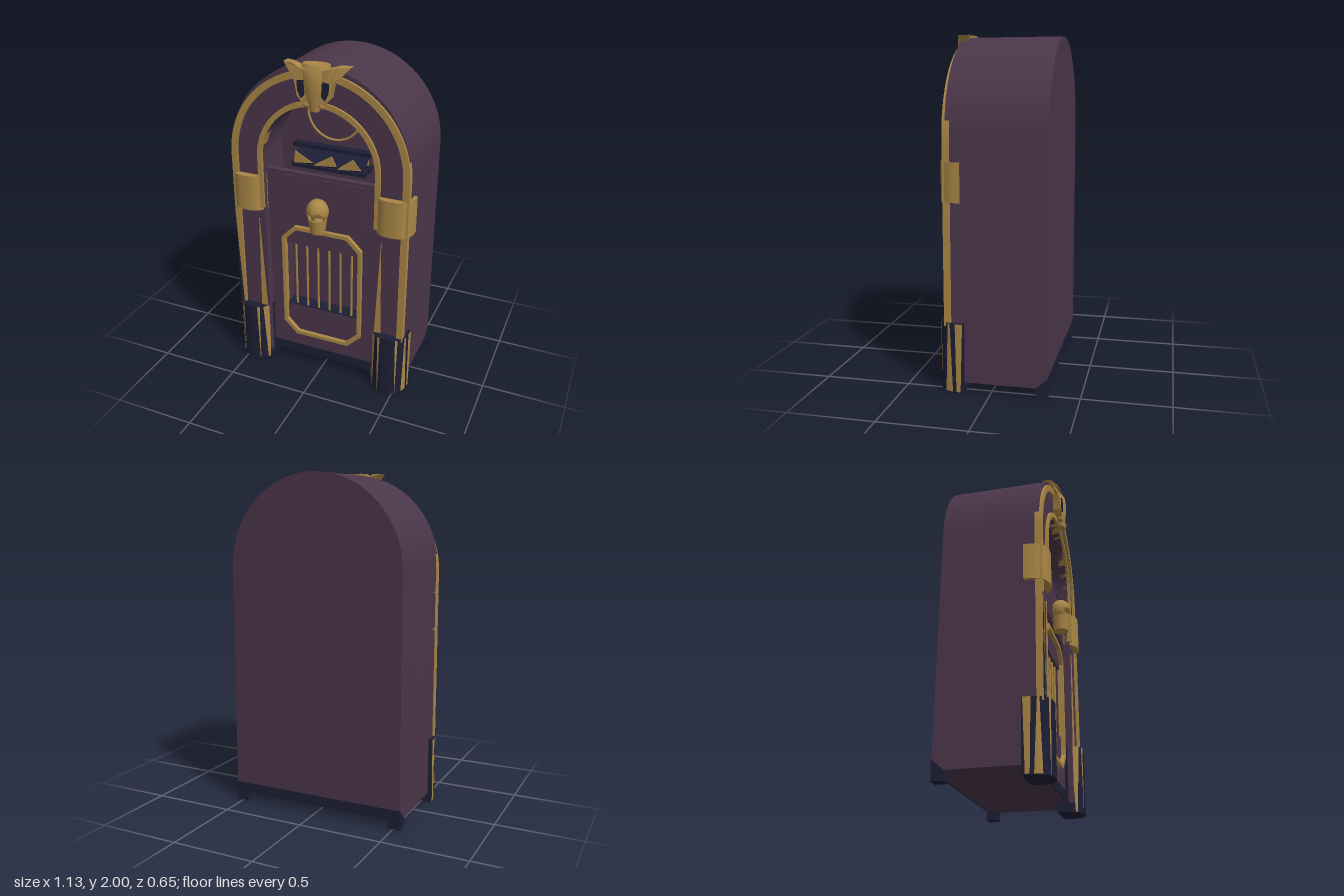
import * as THREE from 'three';
import { toCreasedNormals } from 'three/addons/utils/BufferGeometryUtils.js';

const mat = (name, color) => {
  const m = new THREE.MeshStandardMaterial({ color, side: THREE.DoubleSide });
  m.name = name;
  return m;
};

export function createModel() {
  const model = new THREE.Group();
  const purple = mat('plum', 0x4b364a);
  const gold = mat('old gold', 0xa98646);
  const navy = mat('dark navy', 0x1c1e34);

  const add = (name, geo, material, x = 0, y = 0, z = 0) => {
    const m = new THREE.Mesh(geo, material);
    m.name = name;
    m.position.set(x, y, z);
    model.add(m);
    return m;
  };
  // Box given by its limits
  const box = (name, material, x0, x1, y0, y1, z0, z1) =>
    add(name, new THREE.BoxGeometry(x1 - x0, y1 - y0, z1 - z0), material,
      (x0 + x1) / 2, (y0 + y1) / 2, (z0 + z1) / 2);
  const poly = (pts) => new THREE.Shape(pts.map(([x, y]) => new THREE.Vector2(x, y)));
  const extrude = (shape, z0, z1) => {
    const g = new THREE.ExtrudeGeometry(shape, { depth: z1 - z0, bevelEnabled: false, curveSegments: 20 });
    g.translate(0, 0, z0);
    return toCreasedNormals(g, 0.5);
  };
  const arch = (r, base, cy) => {
    const s = new THREE.Shape();
    s.moveTo(-r, base).lineTo(-r, cy).absarc(0, cy, r, Math.PI, 0, true);
    s.lineTo(r, base).closePath();
    return s;
  };
  // Upside-down U band between two radii
  const band = (R, r, base, cy, cyIn = cy) => {
    const s = new THREE.Shape();
    s.moveTo(-R, base).lineTo(-R, cy).absarc(0, cy, R, Math.PI, 0, true);
    s.lineTo(R, base).lineTo(r, base).lineTo(r, cyIn).absarc(0, cyIn, r, 0, Math.PI, false);
    s.lineTo(-r, base).closePath();
    return s;
  };

  // Cabinet: solid back and a hollow front
  add('cabinetBack', extrude(arch(0.54, 0.055, 1.45), -0.32, 0), purple);
  const front = arch(0.54, 0.055, 1.45);
  front.holes.push(arch(0.345, 1.2, 1.42));
  front.holes.push(poly([[-0.24, 0.42], [0.24, 0.42], [0.24, 0.86], [-0.24, 0.86]]));
  add('cabinetFront', extrude(front, 0, 0.2), purple);
  add('archBand', extrude(band(0.538, 0.345, 0.055, 1.45, 1.42), 0.2, 0.25), purple);
  add('outerTrim', extrude(band(0.543, 0.505, 0.38, 1.42), 0.225, 0.266), gold);
  add('innerTrim', extrude(band(0.375, 0.345, 1.1, 1.42), 0.2, 0.266), gold);
  add('trimInlay', extrude(poly([[-0.544, 0.39], [-0.52, 0.39], [-0.542, 1.0]]), 0.264, 0.269), navy);

  // Base strips and rear feet with sloping sides
  box('frontPlinth', navy, -0.35, 0.35, 0.057, 0.12, 0.19, 0.207);
  box('rearPlinth', navy, -0.541, 0.541, 0.054, 0.115, -0.323, -0.316);
  for (const s of [-1, 1]) {
    const foot = extrude(poly([[0.322, 0], [0.255, 0], [0.255, 0.055], [0.322, 0.115]]), -0.036, 0.036);
    foot.rotateY(Math.PI / 2);
    add('rearFoot', foot, navy, s * 0.506);
  }

  // Point on the rounded-square front of a column at an angle from straight ahead
  const rounded = (a, w, d) => [
    w * Math.sign(Math.sin(a)) * Math.abs(Math.sin(a)) ** 0.75,
    d * Math.max(0, Math.cos(a)) ** 0.75,
  ];
  const halfColumn = (w, d, h) => {
    const g = new THREE.CylinderGeometry(1, 1, h, 24, 1, false, -Math.PI / 2, Math.PI);
    const p = g.attributes.position;
    for (let i = 0; i < p.count; i++) {
      const x = p.getX(i), z = p.getZ(i);
      if (Math.hypot(x, z) < 0.5) continue;
      const [nx, nz] = rounded(Math.atan2(x, z), w, d);
      p.setX(i, nx).setZ(i, nz);
    }
    return toCreasedNormals(g, 0.6);
  };
  // Curved gold strip that tapers along a foot
  const stripe = (angle, width, topW, botW, s) => {
    const g = new THREE.PlaneGeometry(1, 1, 6, 1);
    const p = g.attributes.position;
    for (let i = 0; i < p.count; i++) {
      const v = p.getY(i) + 0.5;
      const [x, z] = rounded(angle + p.getX(i) * width * (botW + (topW - botW) * v), 0.113, 0.148);
      p.setXYZ(i, s * x, 0.003 + v * 0.396, z);
    }
    if (s < 0) g.setIndex([...g.index.array].reverse());
    g.computeVertexNormals();
    return g;
  };

  // Front columns: feet, stripes, collars and inlays
  for (const s of [-1, 1]) {
    add('frontFoot', halfColumn(0.11, 0.145, 0.4), navy, s * 0.45, 0.2, 0.155);
    box('frontFootBack', navy, s * 0.45 - 0.109, s * 0.45 + 0.109, 0.001, 0.399, 0.15, 0.156);
    for (const [a, w, t, b] of [[-0.85, 0.5, 1, 0.25], [-0.3, 0.2, 0.8, 0.15], [0.5, 0.2, 0.8, 0.1],
      [1.1, 0.35, 0.3, 1], [1.47, 0.2, 1, 0.6]])
      add('footStripe', stripe(a, w, t, b, s), gold, s * 0.45, 0, 0.155);
    add('collar', halfColumn(0.11, 0.13, 0.22), gold, s * 0.45, 1.19, 0.163);
    add('columnInlay', extrude(poly([[s * 0.36, 0.39], [s * 0.4, 0.39], [s * 0.388, 1.02]]), 0.25, 0.256), gold);
  }

  // Middle panel standing in front of the window well
  box('panel', purple, -0.345, 0.345, 1.04, 1.335, 0.19, 0.215);
  box('panelInset', purple, -0.29, 0.29, 1.05, 1.32, 0.21, 0.222);
  box('panelLedge', purple, -0.345, 0.345, 1.325, 1.345, 0.19, 0.225);
  for (const x of [-0.26, -0.1, 0.1, 0.26]) box('panelClip', purple, x - 0.035, x + 0.035, 1.305, 1.325, 0.215, 0.228);

  // Grille: recess, bars and eight-sided frame
  box('grilleBack', purple, -0.24, 0.24, 0.42, 0.86, 0, 0.11);
  box('grilleFloor', navy, -0.24, 0.24, 0.417, 0.422, 0.11, 0.199);
  for (let i = 0; i < 6; i++)
    add('grilleBar', new THREE.CylinderGeometry(0.007, 0.007, 0.44, 8), gold, -0.183 + i * 0.0732, 0.64, 0.18);
  const octagon = (w, y0, y1, c) => [[-w + c, y0], [w - c, y0], [w, y0 + c], [w, y1 - c],
    [w - c, y1], [-w + c, y1], [-w, y1 - c], [-w, y0 + c]];
  const frame = poly(octagon(0.258, 0.215, 0.99, 0.085));
  frame.holes.push(poly(octagon(0.236, 0.237, 0.968, 0.076)));
  add('grilleFrame', extrude(frame, 0.19, 0.225), gold);

  // Skull emblem with sunken eyes and nose
  const skull = new THREE.SphereGeometry(1, 32, 24);
  skull.scale(0.066, 0.074, 0.062);
  const sp = skull.attributes.position;
  for (let i = 0; i < sp.count; i++) {
    const x = sp.getX(i), y = sp.getY(i), z = sp.getZ(i);
    if (z < 0) continue;
    const eye = Math.hypot(Math.abs(x) - 0.028, y + 0.024) < 0.019;
    const nose = Math.hypot(x, y + 0.052) < 0.011;
    if (eye || nose) sp.setZ(i, z - 0.022);
  }
  skull.computeVertexNormals();
  add('skull', skull, gold, 0, 1.144, 0.262);
  add('skullJaw', new THREE.CylinderGeometry(0.056, 0.044, 0.09, 16), gold, 0, 1.055, 0.262);

  // Window interior: hanging hoop and tilted rack with gold cards
  const hoop = new THREE.TorusGeometry(0.165, 0.007, 8, 40, Math.PI + 0.4);
  hoop.rotateZ(Math.PI - 0.2);
  add('hoop', hoop, gold, 0, 1.655, 0.01);
  box('rackBase', navy, -0.22, 0.24, 1.342, 1.362, 0, 0.14);
  box('rackTop', navy, -0.25, 0.26, 1.43, 1.452, 0, 0.05);
  const slope = box('rackSlope', navy, -0.22, 0.22, 1.39, 1.402, 0, 0.13);
  slope.rotation.x = 0.5;
  for (const [a, b, c] of [[-0.21, -0.09, -0.2], [-0.09, 0.06, 0.03], [0.06, 0.21, 0.16]])
    add('rackCard', extrude(poly([[a, 1.36], [b, 1.375], [c, 1.435]]), 0.122, 0.128), gold);
  box('rackBack', gold, -0.21, 0.21, 1.36, 1.435, 0, 0.009);

  // Crest: tapering centre, swept wings and dark cheeks
  const levels = [[2.0, 0.08, 0.25, 0.045], [1.97, 0.085, 0.262, 0.05], [1.9, 0.062, 0.285, 0.033],
    [1.82, 0.045, 0.287, 0.024], [1.75, 0.028, 0.283, 0.018]];
  const crest = new THREE.CylinderGeometry(1, 1, 4, 10, 4);
  const cp = crest.attributes.position;
  for (let i = 0; i < cp.count; i++) {
    const [y, w, zc, d] = levels[Math.round(2 - cp.getY(i))];
    cp.setXYZ(i, cp.getX(i) * w, y, zc + cp.getZ(i) * d);
  }
  add('crestCentre', toCreasedNormals(crest, 0.6), gold);
  const swept = (pts, z0, z1) => {
    const g = extrude(poly(pts), z0, z1);
    const p = g.attributes.position;
    for (let i = 0; i < p.count; i++)
      p.setZ(i, p.getZ(i) - Math.max(0, Math.abs(p.getX(i)) - 0.1) * 0.5);
    return toCreasedNormals(g, 0.3);
  };
  for (const s of [-1, 1]) {
    const flip = (pts) => pts.map(([x, y]) => [s * x, y]);
    add('crestWing', swept(flip([[0.02, 1.97], [0.08, 1.985], [0.13, 1.998], [0.192, 1.995], [0.165, 1.965],
      [0.15, 1.945], [0.125, 1.935], [0.11, 1.9], [0.095, 1.83], [0.06, 1.79], [0.05, 1.77], [0.02, 1.8]]),
      0.245, 0.3), gold);
    add('crestCheek', swept(flip([[0.055, 1.92], [0.092, 1.915], [0.09, 1.86], [0.07, 1.82], [0.048, 1.84]]),
      0.3, 0.306), navy);
    add('crestFang', new THREE.SphereGeometry(0.02, 10, 8), gold, s * 0.045, 1.785, 0.285);
  }
  return model;
}
